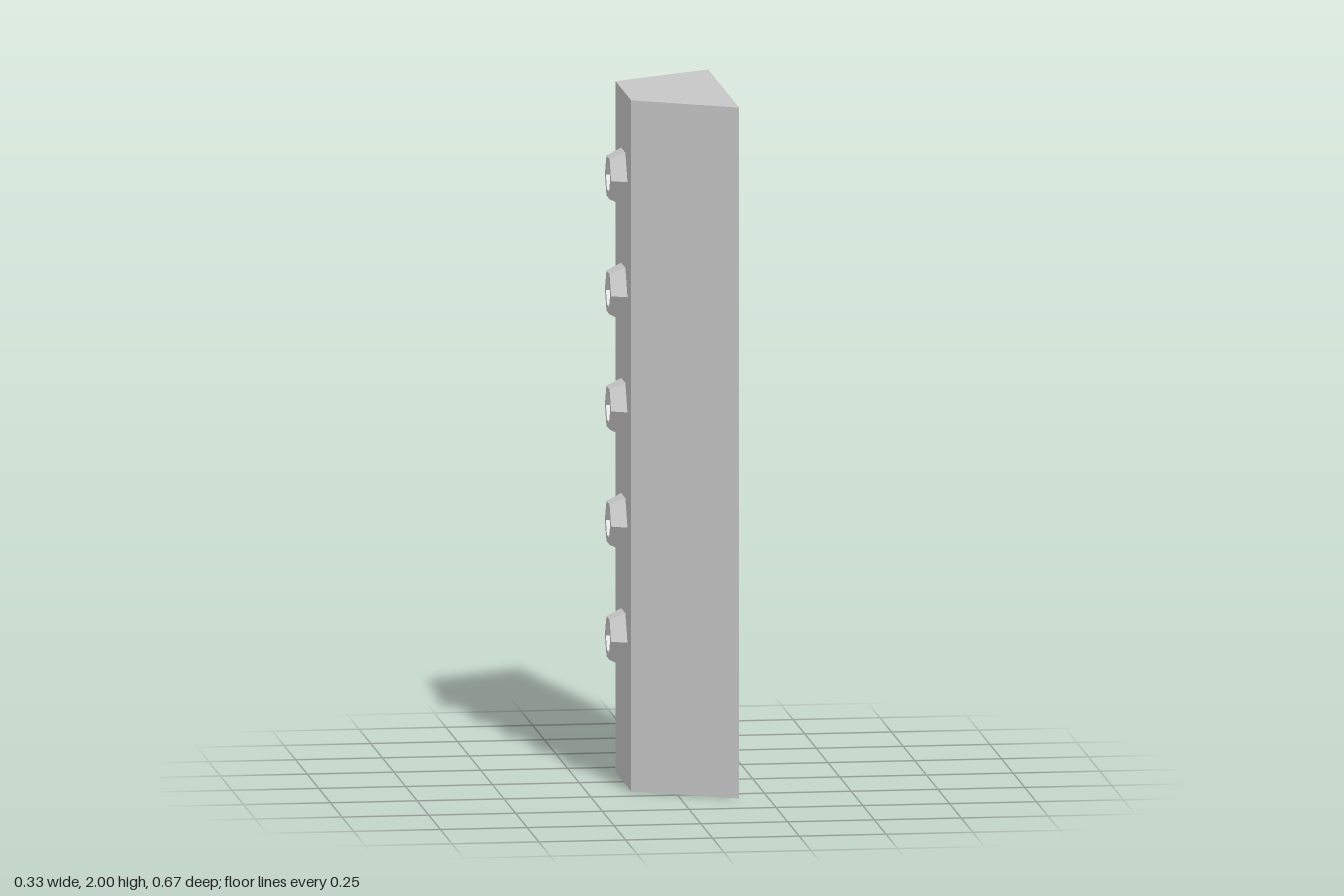
import * as THREE from 'three';

const grey = new THREE.MeshStandardMaterial({ color: 0xc6c6c6, flatShading: true, side: THREE.DoubleSide });
grey.name = 'light grey';

const HEIGHT = 2;
const BACK_X = -0.123; // plane of the narrow wall that carries the nuts

// Thin channel: three walls and a top plate, open at +x and underneath
function channelGeometry() {
  const profile = [[0.166, -0.333], [BACK_X, -0.167], [BACK_X, 0.167], [0.166, 0.333]];
  const positions = [];
  for (const y of [0, HEIGHT]) for (const [x, z] of profile) positions.push(x, y, z);
  const index = [];
  const quad = (a, b, c, d) => index.push(a, b, c, a, c, d);
  for (let i = 0; i < 3; i++) quad(i, i + 1, i + 5, i + 4);
  quad(4, 5, 6, 7);
  const geometry = new THREE.BufferGeometry();
  geometry.setAttribute('position', new THREE.Float32BufferAttribute(positions, 3));
  geometry.setIndex(index);
  geometry.computeVertexNormals();
  return geometry;
}

// Tapered six-sided nut with a hexagonal socket, pointing along -x
function nutGeometry() {
  const profile = [[0.09, 0], [0.067, 0.044], [0.045, 0.044], [0.045, 0.005], [0, 0.005]];
  const geometry = new THREE.LatheGeometry(profile.map(([r, h]) => new THREE.Vector2(r, h)), 6);
  return geometry.rotateZ(Math.PI / 2);
}

export function createModel() {
  const model = new THREE.Group();
  model.name = 'studdedChannel';

  const channel = new THREE.Mesh(channelGeometry(), grey);
  channel.name = 'channel';
  model.add(channel);

  // Evenly spaced column of nuts on the narrow wall
  const nut = nutGeometry();
  for (let i = 0; i < 5; i++) {
    const mesh = new THREE.Mesh(nut, grey);
    mesh.name = `nut${i + 1}`;
    mesh.position.set(BACK_X, 0.417 + i / 3, 0);
    model.add(mesh);
  }
  return model;
}
